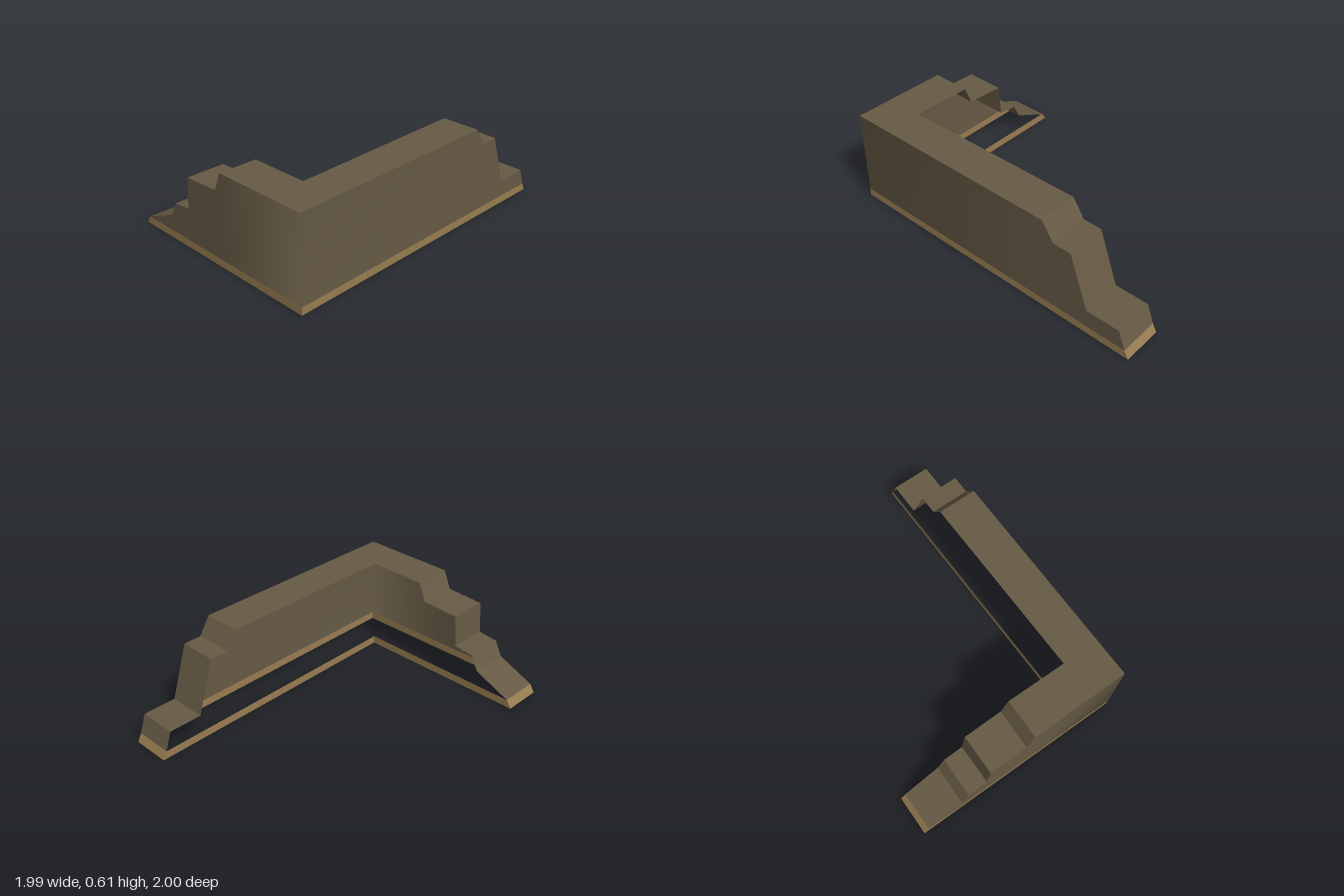
import * as THREE from 'three';

const TRIM_H = 0.05;

// Outer skyline of each leg: [position along the leg's axis, height]
const frontLeg = [[-1, 0], [-0.97, 0.05], [-0.745, 0.155], [-0.7, 0.25], [-0.58, 0.265],
  [-0.565, 0.47], [-0.33, 0.483], [-0.285, 0.6]]; // by x
const sideLeg = [[-0.36, 0.608], [-0.43, 0.497], [-0.54, 0.495], [-0.65, 0.165],
  [-0.85, 0.165], [-0.89, 0.05], [-0.915, 0]]; // by z

// Stations running from the front leg's end, round the corner, to the side leg's end
function makeStations() {
  const station = (x, y, z, dx, dz) => ({
    outer: new THREE.Vector3(x, y, z),
    inner: new THREE.Vector3(x + dx, y, z + dz),
  });
  return [
    ...frontLeg.map(([x, y]) => station(x, y, 0.52 + (x + 1) * 0.363, 0.088, -0.235)),
    station(0.31, 0.605, 0.995, -0.145, -0.315),
    ...sideLeg.map(([z, y]) => station(0.31 + (0.995 - z) * 0.356, y, z, -0.235, -0.085)),
  ];
}

// Surface between two rows of points; smooth shares normals along the row
function strip(low, high, smooth) {
  const positions = [];
  const index = [];
  low.forEach((p, i) => positions.push(...p.toArray(), ...high[i].toArray()));
  for (let i = 0; i < low.length - 1; i++) {
    const a = i * 2;
    index.push(a, a + 2, a + 3, a, a + 3, a + 1);
  }
  let geometry = new THREE.BufferGeometry();
  geometry.setAttribute('position', new THREE.Float32BufferAttribute(positions, 3));
  geometry.setIndex(index);
  if (!smooth) geometry = geometry.toNonIndexed();
  geometry.computeVertexNormals();
  return geometry;
}

export function createModel() {
  const group = new THREE.Group();
  group.name = 'ruinedCornerWall';

  const wallMat = new THREE.MeshStandardMaterial({ color: 0x665a44, side: THREE.DoubleSide });
  wallMat.name = 'wallBrown';
  const trimMat = new THREE.MeshStandardMaterial({ color: 0x977c50, side: THREE.DoubleSide });
  trimMat.name = 'trimTan';

  const add = (name, geometry, material) => {
    const mesh = new THREE.Mesh(geometry, material);
    mesh.name = name;
    group.add(mesh);
  };

  const stations = makeStations();
  const last = stations.length - 1;
  const body = stations.slice(1, last);
  const atHeight = (p, y) => new THREE.Vector3(p.x, y, p.z);

  // Outer face, shaded smoothly round the corner
  add('outerWall', strip(body.map((s) => atHeight(s.outer, TRIM_H)), body.map((s) => s.outer), true), wallMat);

  // Stepped top
  add('steppedTop', strip(body.map((s) => s.outer), body.map((s) => s.inner), false), wallMat);

  // Base trim: outer and inner bands, then the two sloped ends
  const corner = stations[frontLeg.length];
  const band = (key) => {
    const low = [stations[0][key], atHeight(corner[key], 0), stations[last][key]];
    const high = [stations[1][key], atHeight(corner[key], TRIM_H), stations[last - 1][key]];
    return [low, high];
  };
  const [outerLow, outerHigh] = band('outer');
  const [innerLow, innerHigh] = band('inner');
  add('outerTrim', strip(outerLow, outerHigh, false), trimMat);
  add('innerTrim', strip(innerLow.reverse(), innerHigh.reverse(), false), trimMat);
  for (const [name, i] of [['frontLegEndTrim', 0], ['sideLegEndTrim', last - 1]]) {
    const pair = stations.slice(i, i + 2);
    add(name, strip(pair.map((s) => s.outer), pair.map((s) => s.inner), false), trimMat);
  }

  return group;
}
